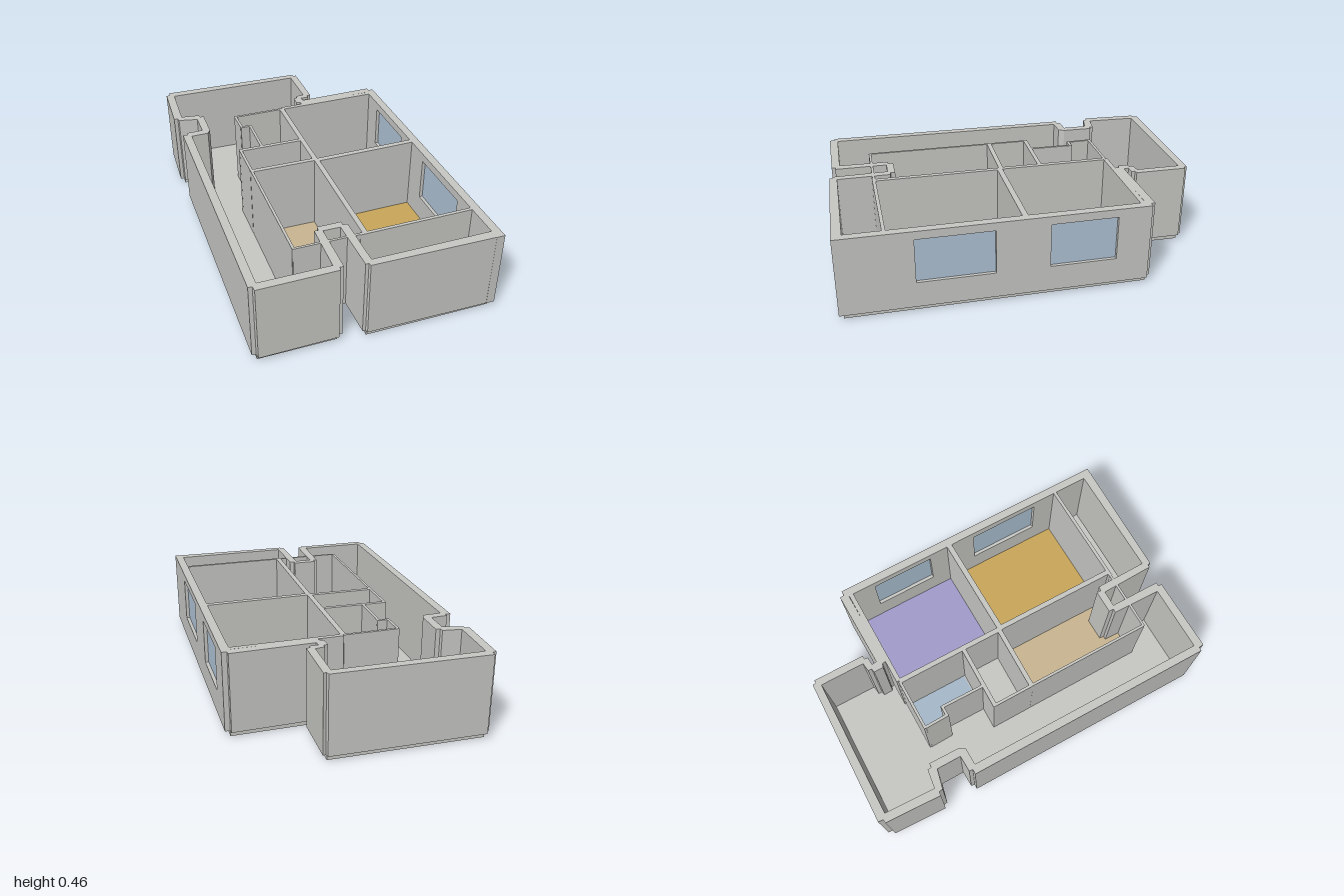
import * as THREE from 'three';

const mat = (name, color) => {
  const m = new THREE.MeshStandardMaterial({ color });
  m.name = name;
  return m;
};

const SLAB = 0.03, TOP = 0.455;

// Extrudes a plan outline, given as [x, z] points, from height y0 to y1.
function prism(name, plan, y0, y1, material) {
  const shape = new THREE.Shape(plan.map(([x, z]) => new THREE.Vector2(x, -z)));
  const geo = new THREE.ExtrudeGeometry(shape, { depth: y1 - y0, bevelEnabled: false });
  geo.rotateX(-Math.PI / 2).translate(0, y0, 0);
  const mesh = new THREE.Mesh(geo, material);
  mesh.name = name;
  return mesh;
}

// Straight partition between two plan points.
function partition([x1, z1, x2, z2, t], material) {
  const len = Math.hypot(x2 - x1, z2 - z1);
  const mesh = new THREE.Mesh(new THREE.BoxGeometry(len, TOP - SLAB, t), material);
  mesh.position.set((x1 + x2) / 2, (TOP + SLAB) / 2, (z1 + z2) / 2);
  mesh.rotation.y = -Math.atan2(z2 - z1, x2 - x1);
  mesh.name = 'partitionWall';
  return mesh;
}

export function createModel() {
  const group = new THREE.Group();
  group.name = 'floorPlanHouse';
  const wall = mat('wallGrey', 0xc8c8c5);
  const purple = mat('purpleFloor', 0xa19ccb);
  const gold = mat('goldFloor', 0xcaa85a);
  const tan = mat('tanFloor', 0xc9b691);
  const blue = mat('blueFloor', 0xa6bacb);
  const glass = mat('windowGlass', 0xb0c4d6);

  // Base slab, set in slightly from the outer walls
  const slab = [
    [-0.68, -0.927], [0.125, -0.978], [0.145, -0.697], [0.08, -0.692], [0.085, -0.625],
    [0.54, -0.665], [0.675, 0.905], [0.005, 0.952], [-0.02, 0.635], [-0.15, 0.64],
    [-0.14, 0.942], [-0.545, 0.97], [-0.645, -0.413], [-0.535, -0.42], [-0.545, -0.59], [-0.67, -0.61],
  ];
  group.add(prism('baseSlab', slab, 0, SLAB, wall));

  // Outer wall, running round from the front right corner to the back right corner
  const outer = [
    [0.656, 0.929], [0.007, 0.968], [0.002, 0.952], [-0.014, 0.952], [-0.045, 0.656],
    [-0.135, 0.661], [-0.114, 0.942], [-0.135, 0.942], [-0.135, 0.963], [-0.542, 0.995],
    [-0.547, 0.968], [-0.568, 0.968], [-0.669, -0.413], [-0.642, -0.413], [-0.642, -0.434],
    [-0.553, -0.444], [-0.563, -0.577], [-0.669, -0.593], [-0.674, -0.614], [-0.695, -0.614],
    [-0.705, -0.92], [-0.685, -0.925], [-0.685, -0.952], [0.124, -1.0], [0.13, -0.98],
    [0.145, -0.984], [0.166, -0.7], [0.145, -0.696], [0.145, -0.677], [0.1, -0.672],
    [0.105, -0.645], [0.536, -0.688], [0.54, -0.665], [0.523, -0.663],
  ];
  const inner = [
    [0.525, -0.63], [0.52, -0.64], [0.087, -0.598], [0.081, -0.619], [0.06, -0.624],
    [0.055, -0.677], [0.076, -0.683], [0.076, -0.704], [0.124, -0.714], [0.105, -0.958],
    [-0.658, -0.905], [-0.648, -0.63], [-0.547, -0.624], [-0.543, -0.603], [-0.52, -0.603],
    [-0.51, -0.434], [-0.526, -0.402], [-0.621, -0.392], [-0.526, 0.947], [-0.162, 0.921],
    [-0.177, 0.651], [-0.156, 0.651], [-0.156, 0.624], [-0.03, 0.614], [-0.028, 0.638],
    [-0.003, 0.64], [0.023, 0.926], [0.652, 0.878],
  ];
  group.add(prism('outerWall', [...outer, ...inner], SLAB, TOP, wall));

  // Straight side wall with two window openings
  const side = new THREE.Group();
  side.name = 'windowWall';
  const len = 1.599, h = TOP - SLAB, depth = 0.045;
  const face = new THREE.Shape([[0, 0], [len, 0], [len, h], [0, h]].map(p => new THREE.Vector2(...p)));
  for (const [a, b] of [[0.387, 0.789], [1.07, 1.421]]) {
    const y0 = 0.14, y1 = 0.38;
    face.holes.push(new THREE.Path([[a, y0], [a, y1], [b, y1], [b, y0]].map(p => new THREE.Vector2(...p))));
    const pane = new THREE.Mesh(new THREE.BoxGeometry(b - a, y1 - y0, 0.008), glass);
    pane.position.set((a + b) / 2, (y0 + y1) / 2, depth / 2);
    pane.name = 'windowPane';
    side.add(pane);
  }
  const sideMesh = new THREE.Mesh(new THREE.ExtrudeGeometry(face, { depth, bevelEnabled: false }), wall);
  sideMesh.name = 'sideWall';
  side.add(sideMesh);
  side.position.set(0.655, SLAB, 0.93);
  side.rotation.y = Math.PI / 2 + 0.0833;
  group.add(side);

  // Partitions: x1, z1, x2, z2, thickness
  const partitions = [
    [-0.048, -0.575, 0, 0.04, 0.027],        // main spine
    [0.004, 0.03, 0.058, 0.73, 0.027],
    [-0.005, 0.04, 0.585, -0.013, 0.03],     // between the large rooms
    [-0.045, -0.577, 0.535, -0.627, 0.025],  // back of the purple room
    [0.03, 0.732, 0.645, 0.681, 0.018],      // front of the gold room
    [-0.343, -0.549, -0.05, -0.573, 0.015],  // blue room
    [-0.337, -0.545, -0.324, -0.42, 0.015],
    [-0.33, -0.418, -0.265, -0.424, 0.015],
    [-0.272, -0.42, -0.256, -0.185, 0.015],
    [-0.387, -0.168, -0.02, -0.192, 0.022],  // closet
    [-0.379, -0.165, -0.362, 0.05, 0.015],
    [-0.368, 0.054, 0, 0.03, 0.025],
    [-0.361, 0.06, -0.307, 0.757, 0.014],    // tan room
    [-0.31, 0.755, 0.055, 0.729, 0.013],
  ];
  partitions.forEach(p => group.add(partition(p, wall)));

  // Coloured room floors
  const floors = [
    ['purpleRoomFloor', purple, [[-0.035, -0.562], [0.525, -0.614], [0.577, -0.028], [0.014, 0.026]]],
    ['goldRoomFloor', gold, [[0.014, 0.058], [0.578, 0], [0.632, 0.67], [0.076, 0.72]]],
    ['tanRoomFloor', tan, [[-0.357, 0.068], [-0.003, 0.042], [0.042, 0.722], [-0.3, 0.748]]],
    ['blueRoomFloor', blue, [[-0.33, -0.54], [-0.064, -0.561], [-0.034, -0.21], [-0.248, -0.194],
      [-0.266, -0.423], [-0.316, -0.418]]],
  ];
  for (const [name, m, plan] of floors) group.add(prism(name, plan, SLAB, SLAB + 0.005, m));

  return group;
}
